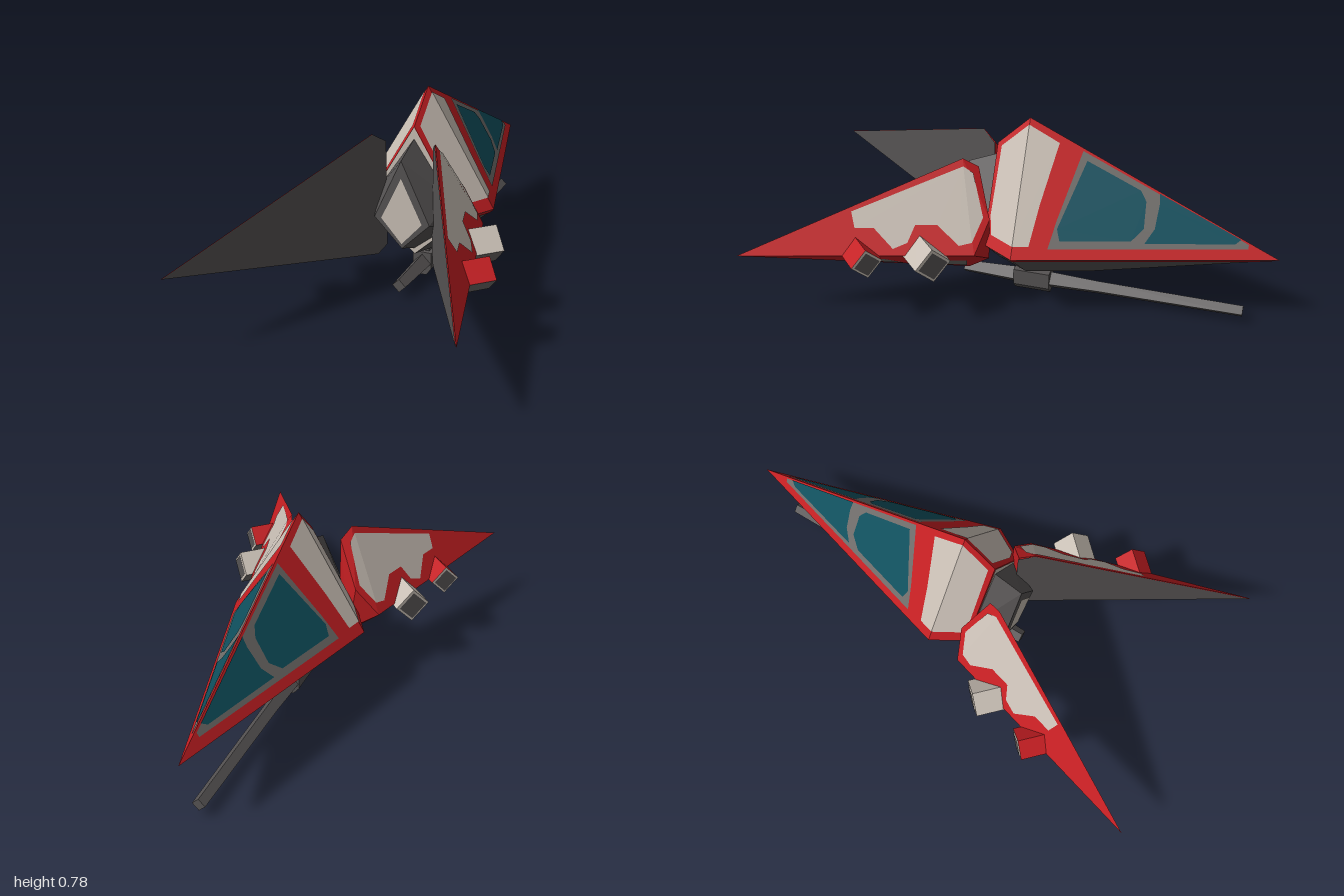
import * as THREE from 'three';
import { ConvexGeometry } from 'three/addons/geometries/ConvexGeometry.js';

const mat = (name, color) => {
  const m = new THREE.MeshStandardMaterial({ color });
  m.name = name;
  return m;
};
const V = (p, s = 1) => new THREE.Vector3(p[0] * s, p[1], p[2]);

export function createModel() {
  const light = mat('warmWhite', 0xc8beb4), red = mat('red', 0xc41e22), dark = mat('darkGrey', 0x565353);
  const grey = mat('panelGrey', 0x706d6a), teal = mat('glassTeal', 0x0f505e);
  const model = new THREE.Group();
  model.name = 'spaceFighter';

  const add = (parent, name, geo, material) => {
    const mesh = new THREE.Mesh(geo, material);
    mesh.name = name;
    parent.add(mesh);
    return mesh;
  };
  const group = (name) => {
    const g = new THREE.Group();
    g.name = name;
    model.add(g);
    return g;
  };
  const solid = (parent, name, pts, material, s = 1) =>
    add(parent, name, new ConvexGeometry(pts.map((p) => V(p, s))), material);

  // Thin painted face: a (z, y) outline laid on the plane of three points; w is the x direction it faces
  const plate = (parent, name, outline, tri, s, w, off, material) => {
    const plane = new THREE.Plane().setFromCoplanarPoints(...tri.map((p) => V(p, s)));
    const geo = new THREE.ShapeGeometry(new THREE.Shape(outline.map(([z, y]) => new THREE.Vector2(-w * z, y))));
    const pos = geo.attributes.position, n = plane.normal;
    for (let i = 0; i < pos.count; i++) {
      const z = -w * pos.getX(i), y = pos.getY(i);
      pos.setXYZ(i, -(plane.constant + n.y * y + n.z * z) / n.x + w * off, y, z);
    }
    geo.computeVertexNormals();
    add(parent, name, geo, material);
  };

  // Hull: two faceted shells meeting at the side edge
  const nose = [0, 0.315, -1], edge = [0.28, 0.315, -0.02], back = [0.205, 0.315, 0.11];
  const ridge = [0, 0.782, -0.02], keel = [0.07, 0.125, -0.02];
  const flip = ([x, y, z]) => [-x, y, z];
  const rim = [nose, edge, flip(edge), back, flip(back)];
  const hull = group('hull');
  solid(hull, 'upperHull', [...rim, ridge, [0, 0.657, 0.11]], red);
  solid(hull, 'belly', [...rim, keel, flip(keel), [0, 0.125, 0.11], [0, 0.125, -0.27]], dark);

  // Hull paint
  const slope = [nose, edge, ridge], bevel = [edge, back, ridge];
  for (const s of [1, -1]) {
    const paint = (name, outline, tri, off, m) => plate(hull, name, outline, tri, s, s, off, m);
    paint('sidePanel', [[-0.02, 0.76], [-0.14, 0.7], [-0.1, 0.5], [-0.08, 0.36], [-0.02, 0.36]], slope, 0.003, light);
    paint('rearSidePanel', [[-0.02, 0.76], [-0.02, 0.36], [0.08, 0.36], [0.096, 0.42], [0.09, 0.655]], bevel, 0.003, light);
    paint('canopyFrame', [[-0.23, 0.674], [-0.88, 0.367], [-0.88, 0.352], [-0.15, 0.352], [-0.17, 0.45]], slope, 0.003, grey);
    paint('rearWindow', [[-0.25, 0.643], [-0.46, 0.546], [-0.485, 0.51], [-0.49, 0.42], [-0.45, 0.38],
      [-0.19, 0.38], [-0.175, 0.42]], slope, 0.006, teal);
    paint('frontWindow', [[-0.53, 0.536], [-0.85, 0.385], [-0.83, 0.37], [-0.5, 0.372], [-0.53, 0.42],
      [-0.535, 0.5]], slope, 0.006, teal);
    paint('edgeStripe', [[-1, 0.315], [-0.02, 0.315], [-0.02, 0.295], [-0.92, 0.299]], [nose, edge, keel], 0.003, red);
    paint('rearEdgeStripe', [[-0.02, 0.315], [0.11, 0.315], [0.11, 0.295], [-0.02, 0.295]], [edge, back, keel], 0.003, red);
  }

  // Rear plate and engine nozzle
  const diamond = (top, w, bottom, z) => new THREE.ShapeGeometry(new THREE.Shape(
    [[0, bottom], [w, 0.315], [0, top], [-w, 0.315]].map((p) => new THREE.Vector2(...p)))).translate(0, 0, z);
  const engine = group('engine');
  add(engine, 'rearPlate', diamond(0.657, 0.205, 0.125, 0.113), light);
  solid(engine, 'nozzle', [
    [0, 0.61, 0.11], [0.15, 0.39, 0.11], [0.15, 0.27, 0.11], [0, 0.15, 0.11],
    [-0.15, 0.39, 0.11], [-0.15, 0.27, 0.11],
    [0, 0.56, 0.23], [0.115, 0.315, 0.23], [-0.115, 0.315, 0.23], [0, 0.2, 0.23]], dark);
  add(engine, 'nozzleGlow', diamond(0.49, 0.085, 0.22, 0.233), light);

  // Swept wings: flat inside, ridged outside
  const tip = [0.54, 0.315, 0.99], top = [0.13, 0.64, 0.21], bottom = [0.12, 0.14, 0.2];
  const outer = [0.29, 0.315, 0.12], front = [0.2, 0.43, 0.085];
  const inTop = [0.105, 0.6, 0.155], inBottom = [0.105, 0.17, 0.16];

  // Four-sided pod whose end looks outward and forward
  const pod = (parent, s, [x, y, z], r, length, upper) => {
    const place = (g) => g.rotateY(s * Math.PI * 0.75).translate(s * x, y, z);
    const geo = new THREE.CylinderGeometry(r, r, length, 4).toNonIndexed();
    geo.clearGroups();
    [[0, 6, 1], [6, 12, 0], [18, 6, 1], [24, 24, 2]].forEach((g) => geo.addGroup(...g));
    geo.rotateX(Math.PI / 2).translate(0, 0, -length / 2);
    geo.computeVertexNormals();
    add(parent, 'pod', place(geo), [upper, grey, light]);
    add(parent, 'podEnd', place(new THREE.CircleGeometry(r * 0.82, 4).translate(0, 0, 0.003)), dark);
  };

  for (const s of [1, -1]) {
    const wing = group(s > 0 ? 'leftWing' : 'rightWing');
    solid(wing, 'wingBody', [tip, top, bottom, outer, front, [0.17, 0.23, 0.1], inTop, inBottom], red, s);
    const paint = (name, outline, tri, m) => plate(wing, name, outline, tri, s, s, 0.003, m);
    paint('upperPanel', [[0.203, 0.615], [0.59, 0.465], [0.57, 0.41], [0.5, 0.41], [0.42, 0.34], [0.37, 0.36],
      [0.35, 0.42], [0.27, 0.42], [0.18, 0.35], [0.134, 0.36]], [top, outer, tip], light);
    paint('frontPanel', [[0.203, 0.615], [0.165, 0.59], [0.108, 0.44], [0.134, 0.36]], [top, outer, front], light);
    paint('lowerPanel', [[0.2, 0.165], [0.34, 0.19], [0.37, 0.23], [0.3, 0.25], [0.17, 0.25]], [bottom, outer, tip], grey);
    paint('lowerRearPanel', [[0.42, 0.21], [0.6, 0.245], [0.56, 0.275], [0.47, 0.275]], [bottom, outer, tip], grey);
    plate(wing, 'innerFace', [top, tip, bottom, inBottom, inTop].map((p) => [p[2], p[1]]),
      [top, tip, bottom], s, -s, 0.003, dark);
    pod(wing, s, [0.39, 0.31, 0.25], 0.073, 0.14, light);
    pod(wing, s, [0.455, 0.315, 0.49], 0.062, 0.13, red);
  }

  // Belly gun
  const gun = group('gun');
  const barrel = (name, r0, r1, z0, z1) => {
    const geo = new THREE.CylinderGeometry(r0, r1, z0 - z1, 4).toNonIndexed();
    geo.rotateX(Math.PI / 2).translate(0, 0.052, (z0 + z1) / 2);
    geo.computeVertexNormals();
    add(gun, name, geo, dark);
  };
  const block = [];
  for (const z of [0.04, -0.11]) for (const x of [-1, 1])
    block.push([x * 0.04, 0.1, z], [x * 0.04, 0.03, z], [x * 0.016, 0, z]);
  solid(gun, 'gunBlock', block, dark);
  barrel('gunTail', 0.028, 0.038, 0.26, 0.04);
  barrel('gunCollar', 0.038, 0.03, -0.11, -0.3);
  barrel('gunBarrel', 0.03, 0.026, -0.3, -0.89);
  add(gun, 'gunMount', new THREE.BoxGeometry(0.044, 0.04, 0.05).translate(0, 0.115, -0.005), dark);

  return model;
}
